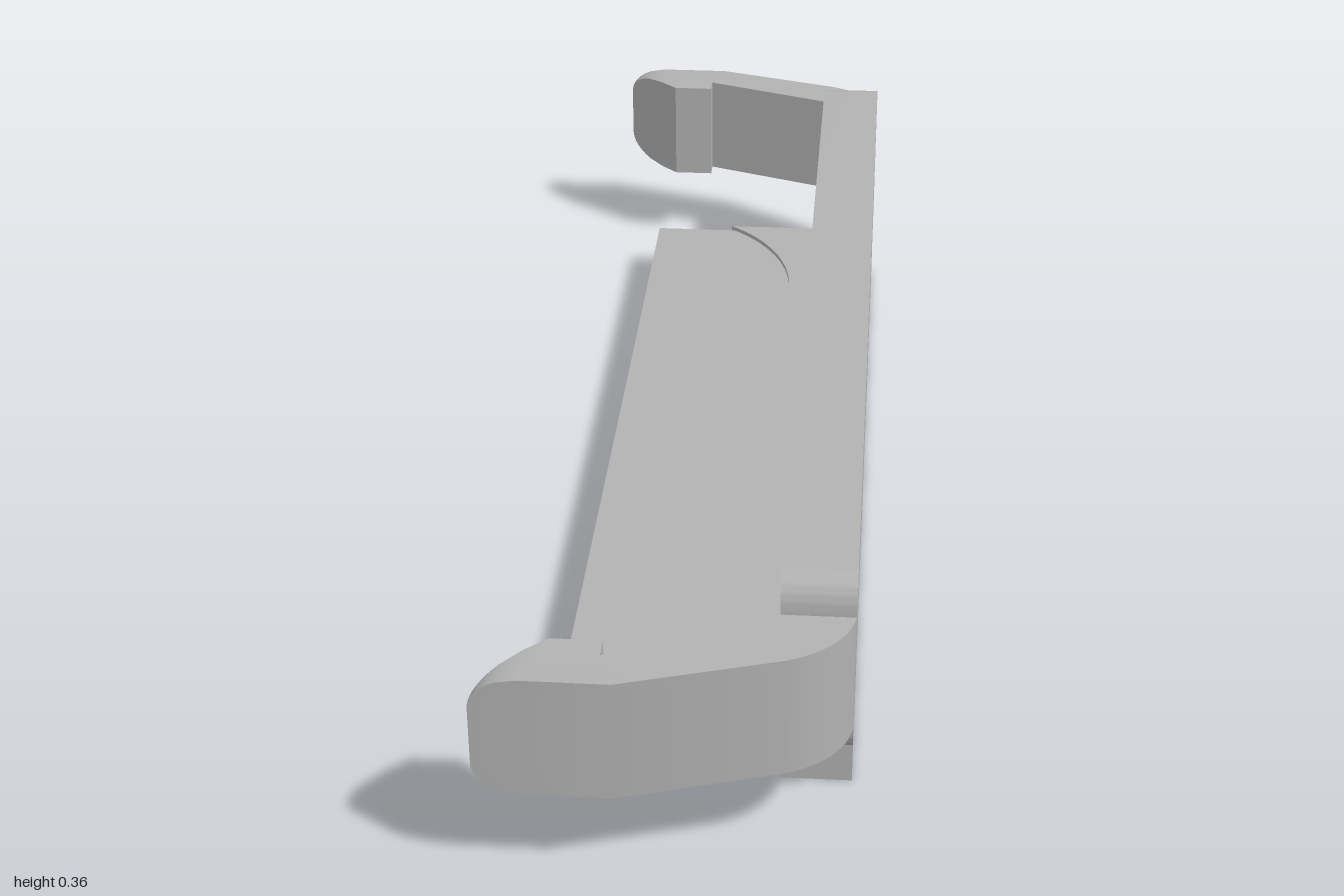
import * as THREE from 'three';
import { toCreasedNormals } from 'three/addons/utils/BufferGeometryUtils.js';

const grey = new THREE.MeshStandardMaterial({ color: 0xb2b2b2 });
grey.name = 'plain grey';

function add(group, name, geometry) {
  const mesh = new THREE.Mesh(toCreasedNormals(geometry, 0.6), grey);
  mesh.name = name;
  group.add(mesh);
  return mesh;
}

// Upright plate: outline in z and y with two slots, extruded along x
function plateGeometry() {
  const s = new THREE.Shape();
  s.moveTo(-0.77, 0);
  s.lineTo(0.77, 0);
  s.lineTo(0.77, 0.092);
  s.lineTo(0.795, 0.092);
  s.quadraticCurveTo(0.835, 0.092, 0.835, 0.137);
  s.lineTo(0.835, 0.313);
  s.quadraticCurveTo(0.835, 0.36, 0.795, 0.36);
  s.lineTo(-0.795, 0.36);
  s.quadraticCurveTo(-0.835, 0.36, -0.835, 0.313);
  s.lineTo(-0.835, 0.137);
  s.quadraticCurveTo(-0.835, 0.092, -0.795, 0.092);
  s.lineTo(-0.77, 0.092);
  s.closePath();
  for (const z of [-0.558, 0.558]) {
    const r = 0.037, slot = new THREE.Path();
    slot.absarc(z, 0.262, r, 0, Math.PI, false);
    slot.absarc(z, 0.192, r, Math.PI, Math.PI * 2, false);
    slot.closePath();
    s.holes.push(slot);
  }
  return new THREE.ExtrudeGeometry(s, { depth: 0.098, bevelEnabled: false, curveSegments: 12 })
    .rotateY(Math.PI / 2).translate(0.139, 0, 0);
}

// Raised web where the shelf meets the plate, sweeping outward at both ends
function webGeometry() {
  const s = new THREE.Shape();
  s.moveTo(0.15, -0.772);
  s.lineTo(0.15, 0.769);
  s.lineTo(-0.03, 0.769);
  s.bezierCurveTo(0.04, 0.72, 0.09, 0.63, 0.09, 0.52);
  s.lineTo(0.09, -0.52);
  s.bezierCurveTo(0.09, -0.63, 0.04, -0.72, -0.03, -0.772);
  s.closePath();
  return new THREE.ExtrudeGeometry(s, { depth: 0.02, bevelEnabled: false, curveSegments: 14 })
    .rotateX(Math.PI / 2).translate(0, 0.09, 0);
}

// Hooked arm: outline in x and z, extruded along y, with a rounded tip
function armGeometry() {
  const s = new THREE.Shape();
  s.moveTo(-0.24, 1);
  s.lineTo(-0.06, 1);
  s.lineTo(0.15, 0.935);
  s.quadraticCurveTo(0.225, 0.905, 0.237, 0.834);
  s.lineTo(0.139, 0.834);
  s.lineTo(0.139, 0.86);
  s.lineTo(-0.08, 0.94);
  s.lineTo(-0.08, 0.908);
  s.lineTo(-0.148, 0.908);
  s.lineTo(-0.24, 0.998);
  s.closePath();
  const g = new THREE.ExtrudeGeometry(s, { depth: 0.176, steps: 40, bevelEnabled: false, curveSegments: 12 })
    .rotateX(Math.PI / 2).translate(0, 0.088, 0);
  // Pull the tip back near the top and bottom edges along an elliptical curve
  const p = g.attributes.position;
  for (let i = 0; i < p.count; i++) {
    if (p.getX(i) > -0.2) continue;
    const u = Math.min(1, Math.max(0, (Math.abs(p.getY(i)) - 0.043) / 0.045));
    const back = 0.063 * (1 - Math.sqrt(1 - u * u));
    p.setX(i, p.getX(i) + back);
    if (p.getZ(i) < 0.999) p.setZ(i, p.getZ(i) - back);
  }
  return g;
}

export function createModel() {
  const model = new THREE.Group();
  model.name = 'clipBracket';

  add(model, 'uprightPlate', plateGeometry());
  add(model, 'shelf', new THREE.BoxGeometry(0.318, 0.078, 1.534).translate(-0.009, 0.044, -0.001));
  add(model, 'shelfWeb', webGeometry());

  // The arm is symmetric in height, so half a turn about x gives its twin
  for (const [name, turn] of [['frontArm', 0], ['rearArm', Math.PI]]) {
    const arm = add(model, name, armGeometry());
    arm.position.y = 0.225;
    arm.rotation.x = turn;
  }
  return model;
}
